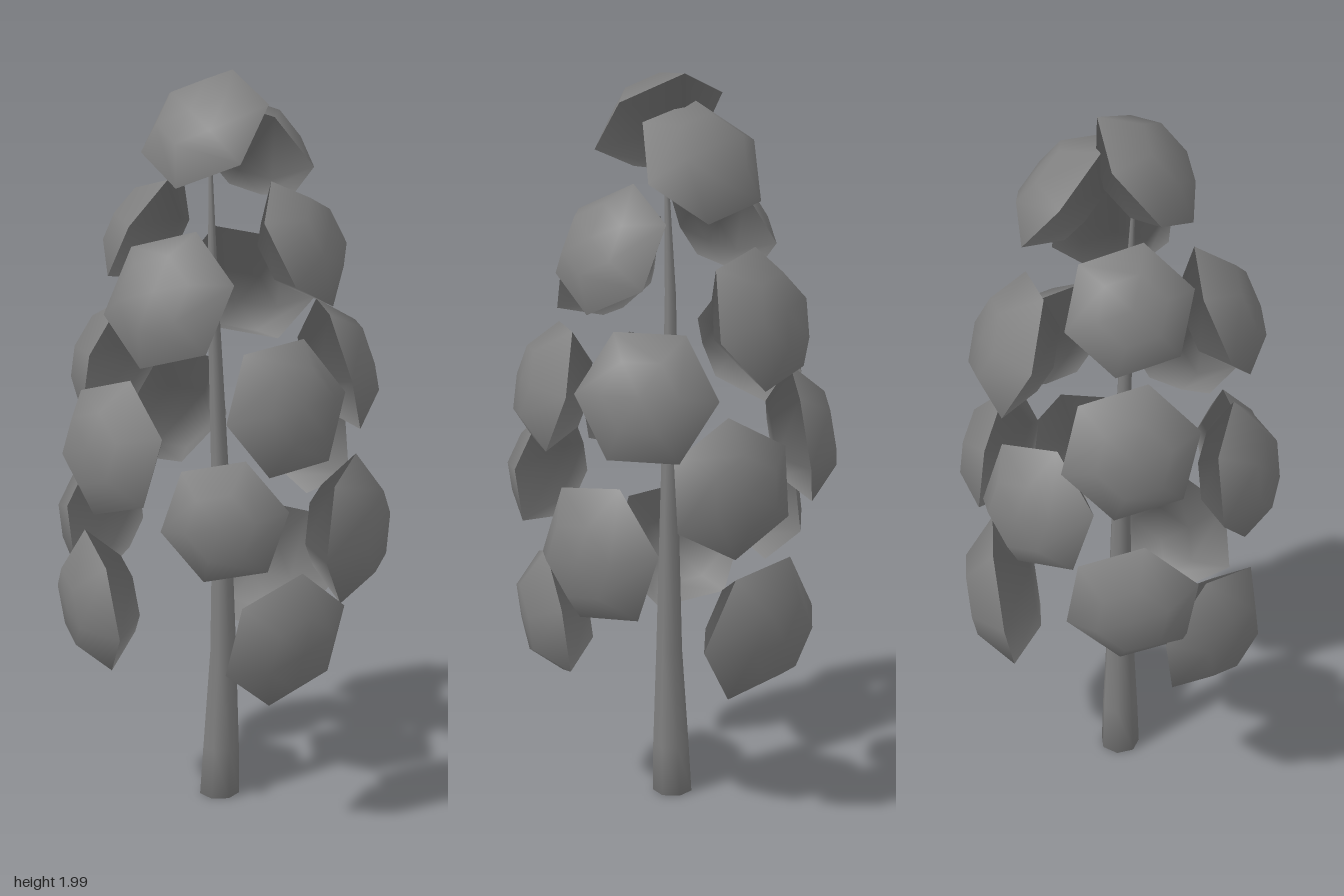
import * as THREE from 'three';

export function createModel() {
  const tree = new THREE.Group();
  tree.name = 'tree';
  const grey = new THREE.MeshStandardMaterial({ color: 0x808080 });
  grey.name = 'plain grey';

  const lathe = (points, sides, start = 0) => new THREE.LatheGeometry(
    points.map(([r, y]) => new THREE.Vector2(r, y)), sides, start);

  // Tapering trunk with a flared foot and a slight sway
  const trunkGeometry = lathe([
    [0, 0], [0.055, 0], [0.05, 0.14], [0.036, 0.42], [0.026, 0.8], [0.021, 1.1], [0.015, 1.4], [0.005, 1.74], [0, 1.75],
  ], 7);
  const p = trunkGeometry.attributes.position;
  for (let i = 0; i < p.count; i++) {
    const y = p.getY(i);
    p.setX(i, p.getX(i) + 0.012 * Math.sin(y * 3));
    p.setZ(i, p.getZ(i) + 0.006 * y ** 3);
  }
  const trunk = new THREE.Mesh(trunkGeometry, grey);
  trunk.name = 'trunk';
  tree.add(trunk);

  // Six-sided lens shared by all foliage clumps, facing +z
  const lens = lathe([[0, -0.46], [0.54, -0.43], [1, 0], [0.54, 0.43], [0, 0.46]], 6, Math.PI / 6);
  lens.rotateX(Math.PI / 2);
  // Normals fan gently outwards so each clump shades softly
  const v = new THREE.Vector3();
  for (let i = 0; i < lens.attributes.position.count; i++) {
    v.fromBufferAttribute(lens.attributes.position, i);
    v.z += 1;
    v.normalize();
    lens.attributes.normal.setXYZ(i, v.x, v.y, v.z);
  }

  // Clumps: x, y, z, radius, roll and turn in degrees
  const clumps = [
    [-0.015, 1.85, 0.062, 0.182, 30, 0], [0.04, 1.775, -0.14, 0.18, 15, 0],
    [-0.205, 1.565, 0.005, 0.17, 15, 0], [0.23, 1.56, 0, 0.178, 30, 0],
    [-0.03, 1.445, 0.26, 0.186, 18, 0], [-0.035, 1.378, -0.275, 0.193, 8, 0],
    [0.262, 1.175, 0.183, 0.184, 5, 0], [0.272, 1.21, -0.165, 0.187, 0, 0],
    [-0.305, 1.21, 0, 0.184, 15, 0], [-0.175, 1.05, 0.295, 0.188, 18, 8],
    [-0.25, 1.02, -0.235, 0.185, 15, 0], [0.115, 0.965, -0.315, 0.185, 30, 0],
    [0.15, 0.9, 0.322, 0.168, 12, -12], [0.343, 0.79, -0.065, 0.2, 10, -7],
    [-0.35, 0.77, 0, 0.182, 20, -6], [-0.255, 0.6, 0.222, 0.192, 45, 0],
    [0.265, 0.55, 0.185, 0.19, 20, 0], [0.01, 0.56, -0.32, 0.205, 4, 0],
  ];
  const foliage = new THREE.Group();
  foliage.name = 'foliage';
  tree.add(foliage);
  clumps.forEach(([x, y, z, radius, roll, turn], i) => {
    const clump = new THREE.Mesh(lens, grey);
    clump.name = `leafClump${i + 1}`;
    clump.position.set(x, y, z);
    // Face outward, tipping up towards the crown
    const heading = Math.atan2(x, z) + THREE.MathUtils.degToRad(turn);
    const rise = (y - 0.78) * 0.62;
    const out = Math.sqrt(1 - rise * rise);
    clump.lookAt(x + Math.sin(heading) * out, y + rise, z + Math.cos(heading) * out);
    clump.rotateZ(THREE.MathUtils.degToRad(roll));
    clump.scale.setScalar(radius);
    foliage.add(clump);
  });

  return tree;
}
